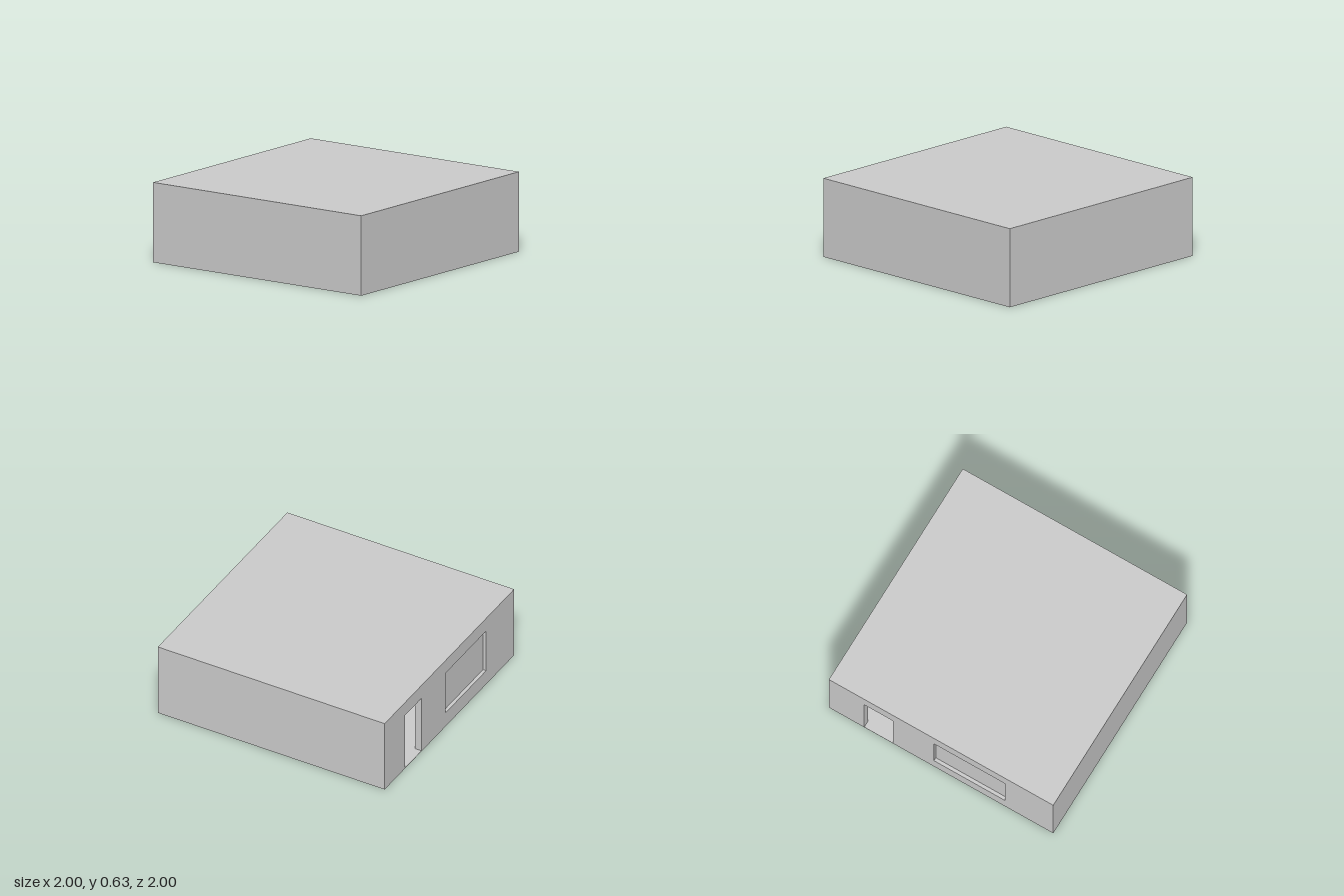
import * as THREE from 'three';

const W = 2, H = 0.626, T = 0.06;          // room width, height, wall thickness
const FLOOR = 0.004, CEILING = H - T;

export function createModel() {
  const room = new THREE.Group();
  room.name = 'room';
  const material = new THREE.MeshStandardMaterial({ color: 0xcccccc, flatShading: true });

  function add(name, geometry, x, y, z, parent = room) {
    const mesh = new THREE.Mesh(geometry, material);
    mesh.name = name;
    mesh.position.set(x, y, z);
    parent.add(mesh);
    return mesh;
  }
  // Box given by its lower and upper corners
  function box(name, [x0, y0, z0], [x1, y1, z1], parent) {
    return add(name, new THREE.BoxGeometry(x1 - x0, y1 - y0, z1 - z0),
      (x0 + x1) / 2, (y0 + y1) / 2, (z0 + z1) / 2, parent);
  }

  // Floor and flat roof
  box('floor', [-1, 0, -1], [1, FLOOR, 1]);
  box('roof', [-1, CEILING, -1], [1, H, 1]);

  // Solid front and side walls; the left one is thinner to house the shelves
  const shelfBack = 0.98, shelfFront = 1 - T - 0.005;
  box('frontWall', [-1, FLOOR, 1 - T], [1, CEILING, 1]);
  box('rightWall', [-1, FLOOR, -1 + T], [-1 + T, CEILING, 1 - T]);
  box('leftWall', [shelfBack, FLOOR, -1 + T], [1, CEILING, 1 - T]);

  // Back wall: the doorway notches its lower edge, the window is a hole
  const door = { x0: 0.43, x1: 0.685, top: 0.503 };
  const win = { x0: -0.568, x1: 0.064, y0: 0.128, y1: 0.505 };
  const outline = new THREE.Shape();
  outline.moveTo(-1, FLOOR);
  outline.lineTo(door.x0, FLOOR);
  outline.lineTo(door.x0, door.top);
  outline.lineTo(door.x1, door.top);
  outline.lineTo(door.x1, FLOOR);
  outline.lineTo(1, FLOOR);
  outline.lineTo(1, CEILING);
  outline.lineTo(-1, CEILING);
  outline.closePath();
  const opening = new THREE.Path();
  opening.moveTo(win.x0, win.y0);
  opening.lineTo(win.x0, win.y1);
  opening.lineTo(win.x1, win.y1);
  opening.lineTo(win.x1, win.y0);
  opening.closePath();
  outline.holes.push(opening);
  add('backWall', new THREE.ExtrudeGeometry(outline, { depth: T, bevelEnabled: false }), 0, 0, -1);

  // Window pane set back in its opening
  box('windowPane', [win.x0, win.y0, -0.972], [win.x1, win.y1, -0.962]);

  // Built-in grid of shelves along the inside of the left wall
  const shelves = new THREE.Group();
  shelves.name = 'shelves';
  room.add(shelves);
  const rows = 4, columns = 13, board = 0.014, z0 = -1 + T, z1 = 1 - T;
  for (let i = 0; i <= rows; i++) {
    const y = FLOOR + (CEILING - FLOOR - board) * i / rows;
    box('shelfBoard', [shelfFront, y, z0], [shelfBack, y + board, z1], shelves);
  }
  for (let i = 0; i <= columns; i++) {
    const z = z0 + (z1 - z0 - board) * i / columns;
    box('shelfDivider', [shelfFront, FLOOR, z], [shelfBack, CEILING, z + board], shelves);
  }
  return room;
}
